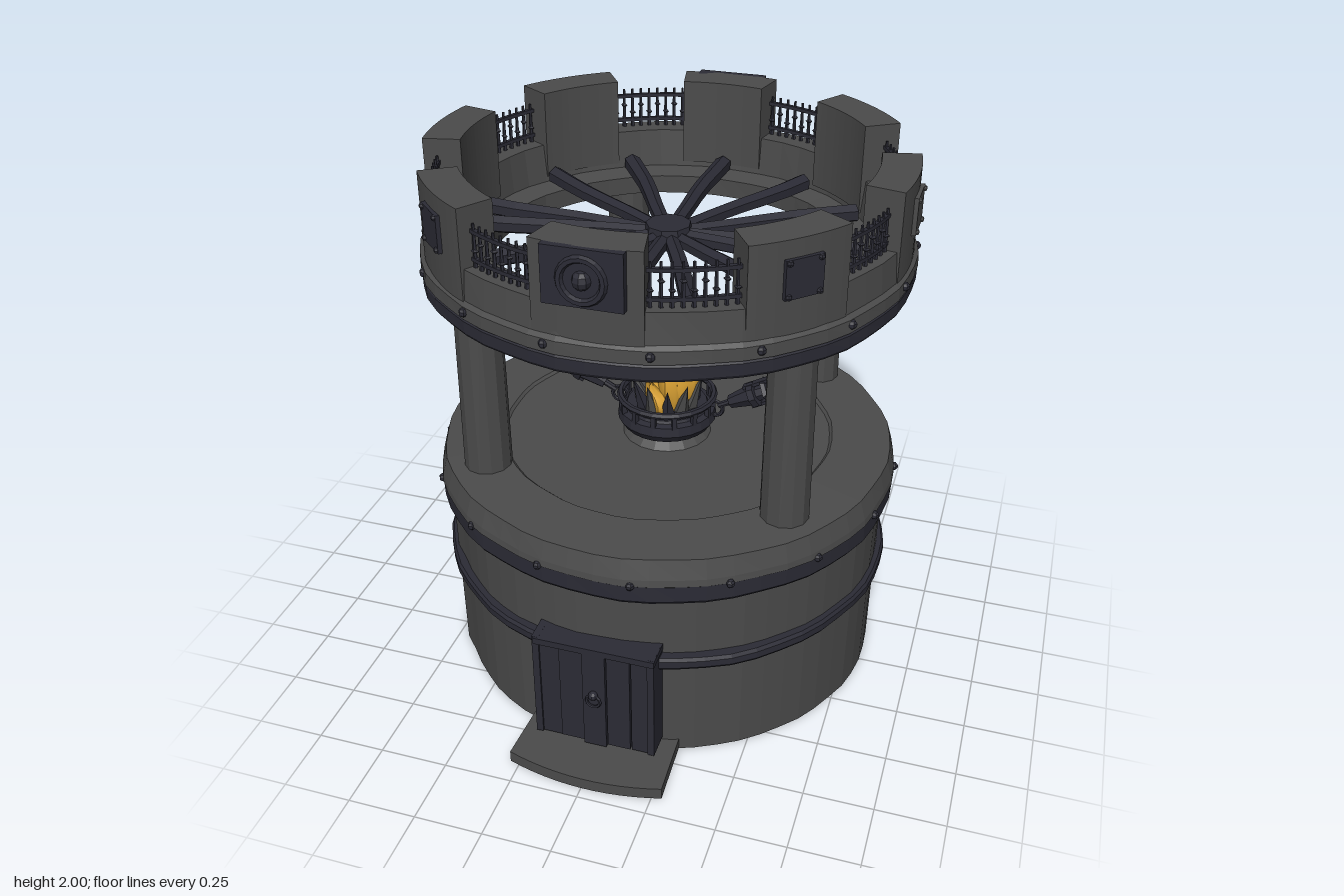
import * as THREE from 'three';

export function createModel() {
  const mat = (name, color, extra = {}) => Object.assign(new THREE.MeshStandardMaterial({ color, ...extra }), { name });
  const stone = mat('stone', 0x4b4b4b, { flatShading: true });
  const iron = mat('dark iron and wood', 0x2b2b35, { flatShading: true });
  const fire = mat('fire yellow', 0xdca334, { side: THREE.DoubleSide });

  const model = new THREE.Group();
  model.name = 'beaconTower';
  const tower = new THREE.Group(); // round parts share this centre
  tower.name = 'tower';
  tower.position.z = -0.08;
  model.add(tower);

  let seed = 7;
  const rand = () => (seed = (seed * 16807) % 2147483647) / 2147483647;
  const add = (parent, name, geo, material, x = 0, y = 0, z = 0) => {
    const m = new THREE.Mesh(geo, material);
    m.name = name;
    m.position.set(x, y, z);
    parent.add(m);
    return m;
  };
  const polar = (a, r) => [Math.sin(a) * r, Math.cos(a) * r];
  const deg = THREE.MathUtils.degToRad;

  // hand-hewn waviness around the vertical axis
  const wobble = (geo, amt) => {
    const p = geo.attributes.position;
    for (let i = 0; i < p.count; i++) {
      const a = Math.atan2(p.getX(i), p.getZ(i)), y = p.getY(i);
      const k = 1 + amt * (Math.sin(7 * a + y * 9) + Math.sin(17 * a + 2 + y * 5));
      p.setXYZ(i, p.getX(i) * k, y, p.getZ(i) * k);
    }
    geo.computeVertexNormals();
    return geo;
  };
  const lathe = (pts, n = 56) => new THREE.LatheGeometry(pts.map(p => new THREE.Vector2(...p)), n);
  const ring = (r0, r1, y0, y1) => wobble(lathe([[r0, y0], [r1 - 0.008, y0], [r1, y0 + 0.012], [r1, y1 - 0.012], [r1 - 0.008, y1], [r0, y1], [r0, y0]]), 0.003);
  // curved block centred on direction a
  const arcBlock = (rin, rout, a, half, y0, y1, n = 6) => {
    const s = new THREE.Shape();
    s.absarc(0, 0, rout, -Math.PI / 2 - half, -Math.PI / 2 + half, false);
    s.absarc(0, 0, rin, -Math.PI / 2 + half, -Math.PI / 2 - half, true);
    const g = new THREE.ExtrudeGeometry(s, { depth: y1 - y0, bevelEnabled: false, curveSegments: n });
    return g.rotateX(-Math.PI / 2).rotateY(a).translate(0, y0, 0);
  };

  // drum of upright stones with uneven depths
  const N = 60;
  const depths = Array.from({ length: N }, () => 0.8 + rand() * 0.025);
  for (let i = 0; i < N; i += 3) depths[i + 1] = depths[i + 2] = depths[i];
  const drum = new THREE.CylinderGeometry(1, 1, 0.74, N, 4);
  const dp = drum.attributes.position;
  for (let i = 0; i < dp.count; i++) {
    const x = dp.getX(i), z = dp.getZ(i), y = dp.getY(i);
    const k = (Math.round(Math.atan2(x, z) / (2 * Math.PI) * N) + N) % N;
    const r = depths[k] + 0.012 * y;
    dp.setXYZ(i, x * r, y + 0.37, z * r);
  }
  add(tower, 'drumWall', drum, stone);
  add(tower, 'middleBand', ring(0.78, 0.845, 0.41, 0.46), iron);
  add(tower, 'upperBand', ring(0.78, 0.855, 0.71, 0.8), iron);

  // floor with a paved rim
  add(tower, 'floorSlab', wobble(lathe([[0, 0.76], [0.83, 0.76], [0.858, 0.785], [0.855, 0.81], [0.835, 0.88], [0.62, 0.888], [0.61, 0.878], [0, 0.88]]), 0.003), stone);

  // rivets on both big bands
  for (let i = 0; i < 16; i++) for (const [y, r] of [[0.785, 0.858], [1.655, 0.862]]) {
    const [x, z] = polar(i * Math.PI / 8 + 0.15 + y, r);
    add(tower, 'rivet', new THREE.SphereGeometry(0.016, 6, 5), iron, x, y, z);
  }

  // four pillars
  for (const [x, z] of [[-0.55, 0.43], [0.55, 0.43], [0.455, -0.57], [-0.365, -0.65]])
    add(tower, 'pillar', new THREE.CylinderGeometry(0.082, 0.087, 0.74, 12), stone, x, 1.24, z);
  add(tower, 'stump', new THREE.CylinderGeometry(0.06, 0.063, 0.09, 10), stone, -0.51, 0.925, -0.36);

  // battlement ring
  add(tower, 'battlementBand', ring(0.8, 0.86, 1.565, 1.63), iron);
  add(tower, 'battlementWall', wobble(lathe([[0.63, 1.572], [0.845, 1.572], [0.845, 1.62], [0.862, 1.628], [0.86, 1.672], [0.845, 1.685],
    [0.835, 1.79], [0.735, 1.79], [0.72, 1.65], [0.63, 1.64], [0.63, 1.572]]), 0.003), stone);

  for (let i = 0; i < 8; i++) {
    const a = i * Math.PI / 4;
    add(tower, 'merlon', arcBlock(0.715, 0.848, a, deg(12.3), 1.67, i % 4 ? 1.995 : 1.99), stone);

    // plaque: ornate front and back, plain stone on the sides, dark on diagonals
    const plaque = new THREE.Group();
    plaque.name = 'plaque';
    plaque.rotation.y = a;
    tower.add(plaque);
    if (i % 4 === 0) {
      add(plaque, 'ornatePlate', new THREE.BoxGeometry(0.26, 0.19, 0.05), iron, 0, 1.895, 0.84);
      add(plaque, 'roundFrame', new THREE.TorusGeometry(0.07, 0.013, 6, 20), iron, 0, 1.89, 0.868);
      add(plaque, 'boss', new THREE.SphereGeometry(0.032, 8, 6), iron, 0, 1.89, 0.862);
    } else {
      const m = i % 2 ? iron : stone;
      add(plaque, 'plainPlate', new THREE.BoxGeometry(0.135, 0.13, 0.04), m, 0, 1.87, 0.84);
      for (const x of [-0.055, 0.055]) for (const y of [1.815, 1.925])
        add(plaque, 'stud', new THREE.SphereGeometry(0.011, 6, 4), m, x, y, 0.86);
    }

    // railing in the gap beside the merlon
    const g = a + Math.PI / 8;
    for (const y of [1.81, 1.905])
      add(tower, 'rail', arcBlock(0.79, 0.805, g, deg(11), y, y + 0.013, 8), iron);
    for (let k = -4; k <= 4; k++) {
      const [x, z] = polar(g + deg(k * 2.35), 0.798);
      add(tower, 'baluster', new THREE.CylinderGeometry(0.005, 0.008, 0.155, 5), iron, x, 1.86, z);
      add(tower, 'balusterKnot', new THREE.OctahedronGeometry(0.013), iron, x, 1.86 + (k % 2 ? 0.015 : -0.015), z);
    }
  }

  // rough roof beams meeting at a hub
  for (const d of [0, 25, 54, 81, 94, 123, 150, 180, 208, 236, 266, 279, 307, 333]) {
    const a = deg(d), L = 0.7;
    const beam = new THREE.CylinderGeometry(0.034, 0.026, L, 6, 6);
    const p = beam.attributes.position;
    for (let i = 0; i < p.count; i++) {
      const t = p.getY(i) / L + 0.5;
      p.setX(i, p.getX(i) + 0.009 * Math.sin(t * 7 + d) * t);
    }
    const m = add(tower, 'roofBeam', beam.rotateX(Math.PI / 2).translate(0, 0, L / 2), iron, 0, 1.675, 0);
    m.rotation.y = a;
  }
  add(tower, 'beamHub', new THREE.CylinderGeometry(0.08, 0.09, 0.07, 9), iron, 0, 1.68, 0);

  // door, its braces, handle and step
  const door = new THREE.Group();
  door.name = 'door';
  model.add(door);
  for (let i = 0; i < 5; i++)
    add(door, 'doorPlank', new THREE.BoxGeometry(0.084, 0.435 - (i % 2) * 0.012, 0.13), iron, (i - 2) * 0.087, 0.277, 0.735 - Math.abs(i - 2) * 0.008);
  for (const x of [-0.215, 0.205])
    add(door, 'doorPost', new THREE.BoxGeometry(0.025, 0.44, 0.14), iron, x, 0.28, 0.722);
  add(door, 'doorLintel', new THREE.BoxGeometry(0.44, 0.025, 0.14), iron, 0, 0.487, 0.73);
  add(door, 'doorKnob', new THREE.SphereGeometry(0.018, 8, 6), iron, 0, 0.3, 0.808);
  add(door, 'doorHandle', new THREE.TorusGeometry(0.025, 0.006, 5, 12), iron, 0, 0.275, 0.808);
  const stepShape = new THREE.Shape();
  stepShape.moveTo(-0.27, -0.6);
  stepShape.lineTo(0.27, -0.6);
  stepShape.lineTo(0.285, -0.92);
  stepShape.quadraticCurveTo(0, -1.0, -0.285, -0.91);
  add(model, 'doorStep', new THREE.ExtrudeGeometry(stepShape, { depth: 0.045, bevelEnabled: false }).rotateX(-Math.PI / 2), stone);

  // fire bowl
  const bowl = new THREE.Group();
  bowl.name = 'fireBowl';
  bowl.position.z = -0.07;
  model.add(bowl);
  add(bowl, 'bowlFoot', lathe([[0.17, 0.875], [0.13, 0.92], [0, 0.92]], 18), stone);
  add(bowl, 'bowlBody', lathe([[0.11, 0.905], [0.165, 0.92], [0.185, 0.95], [0.18, 0.985], [0.155, 0.99], [0.15, 1.0], [0, 1.0]], 24), iron);
  add(bowl, 'bowlRim', new THREE.TorusGeometry(0.175, 0.013, 6, 24).rotateX(Math.PI / 2), iron, 0, 1.035, 0);
  for (let i = 0; i < 14; i++) {
    const [x, z] = polar(i * Math.PI / 7, 0.172);
    add(bowl, 'rimPost', new THREE.BoxGeometry(0.018, 0.06, 0.018), iron, x, 1.01, z).rotation.y = i * Math.PI / 7;
  }
  // pointed embers leaning outwards
  for (let i = 0; i < 11; i++) {
    const a = i * Math.PI * 2 / 11 + 0.3, [x, z] = polar(a, 0.115);
    const h = 0.1 + rand() * 0.06;
    const m = add(bowl, 'charredLog', new THREE.ConeGeometry(0.03, h, 5), i % 3 ? stone : iron, x, 1.0 + h / 2, z);
    m.rotation.order = 'YXZ';
    m.rotation.set(0.35, a, 0);
  }

  // flame tongues: turned profile, fluted and bent by height
  const flame = (x, z, h, r, leanX, leanZ) => {
    const g = lathe([[0.8, 0], [1, 0.15], [0.98, 0.32], [0.74, 0.5], [0.5, 0.67], [0.24, 0.84], [0.1, 0.94], [0, 1]], 16);
    const p = g.attributes.position;
    for (let i = 0; i < p.count; i++) {
      const t = p.getY(i), a = Math.atan2(p.getX(i), p.getZ(i));
      const k = r * (1 + 0.17 * Math.sin(4 * a + t * 5)), sway = Math.sin(t * 6) * 0.014;
      p.setXYZ(i, p.getX(i) * k + leanX * t * t + sway, t * h, p.getZ(i) * k + leanZ * t * t);
    }
    g.computeVertexNormals();
    add(bowl, 'flame', g, fire, x, 0.995, z);
  };
  flame(0.01, 0.0, 0.43, 0.085, -0.005, 0.025);
  flame(0.045, 0.01, 0.37, 0.055, 0.035, 0.0);
  flame(-0.03, 0.02, 0.27, 0.05, -0.035, 0.05);
  flame(0.03, -0.055, 0.24, 0.06, 0.02, -0.04);
  flame(0.0, -0.085, 0.13, 0.04, 0.0, -0.03);
  flame(-0.01, 0.075, 0.14, 0.04, -0.01, 0.03);
  const curl = new THREE.CatmullRomCurve3([[0.0, 1.38, 0.015], [0.012, 1.415, 0.022], [0.004, 1.435, 0.025], [-0.025, 1.425, 0.025]].map(v => new THREE.Vector3(...v)));
  add(bowl, 'flameCurl', new THREE.TubeGeometry(curl, 10, 0.01, 6), fire);

  // carrying arms on either side
  for (const turn of [0, Math.PI]) {
    const side = new THREE.Group();
    side.name = 'bowlArm';
    side.rotation.y = turn;
    bowl.add(side);
    add(side, 'armRing', new THREE.TorusGeometry(0.03, 0.008, 6, 14), iron, 0.185, 1.0, 0);
    const arm = new THREE.Group();
    arm.name = 'armShaft';
    arm.position.set(0.2, 1.015, 0);
    arm.rotation.z = deg(28);
    side.add(arm);
    const along = (name, r0, r1, from, to, n = 8) =>
      add(arm, name, new THREE.CylinderGeometry(r1, r0, to - from, n).rotateZ(-Math.PI / 2), iron, (from + to) / 2, 0, 0);
    along('armRod', 0.012, 0.016, 0, 0.28);
    along('armSleeve', 0.025, 0.042, 0.05, 0.15, 7);
    along('armCollar', 0.05, 0.05, 0.14, 0.165, 8);
    along('armGrip', 0.03, 0.024, 0.165, 0.28, 7);
    along('armGuard', 0.052, 0.045, 0.2, 0.215, 6);
    along('armTip', 0.032, 0.022, 0.27, 0.31, 6);
    for (const s of [-1, 1])
      add(arm, 'armFin', new THREE.BoxGeometry(0.13, 0.012, 0.03), iron, 0.19, s * 0.04, 0);
  }
  return model;
}
